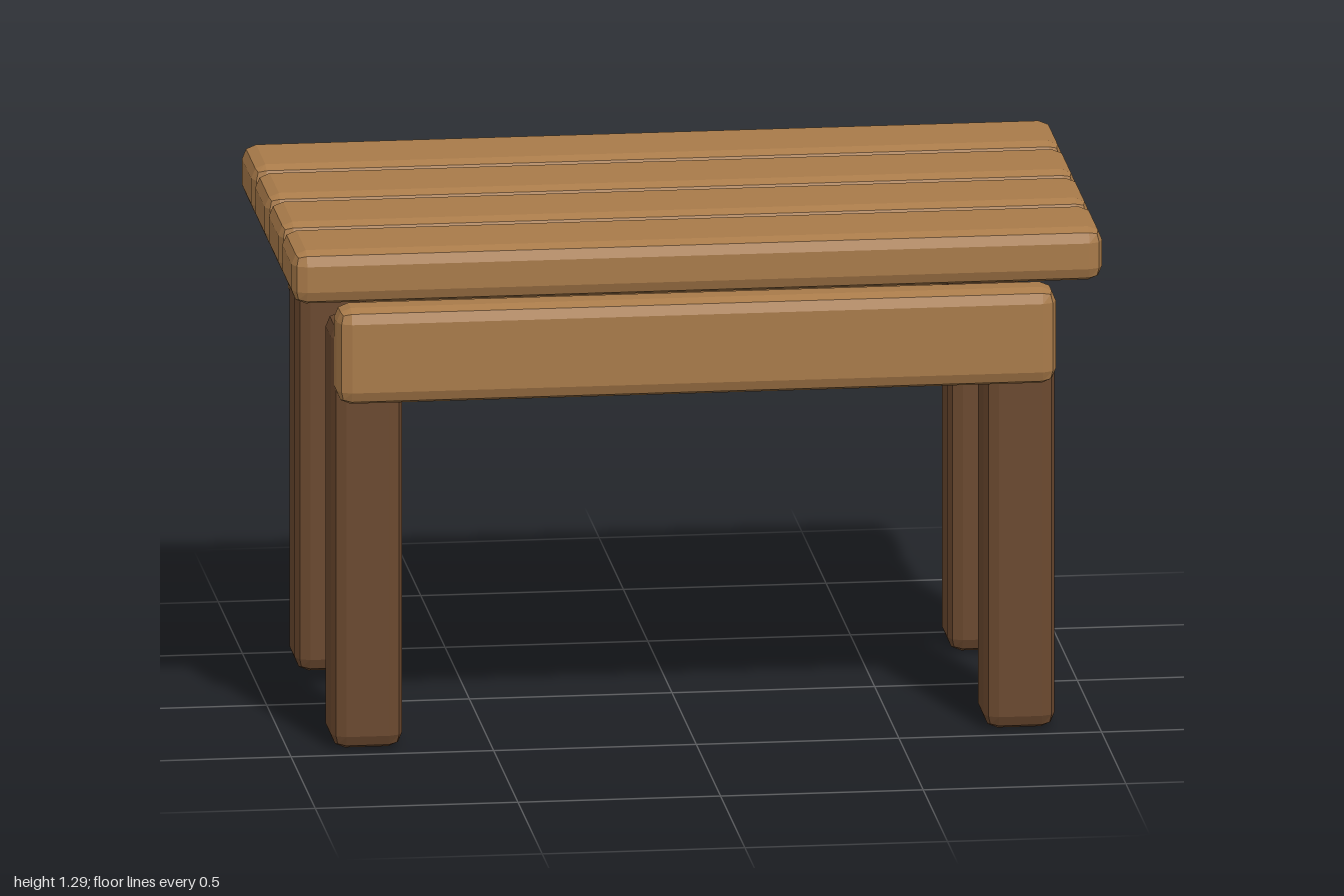
import * as THREE from 'three';
import { RoundedBoxGeometry } from 'three/addons/geometries/RoundedBoxGeometry.js';

const lightWood = new THREE.MeshStandardMaterial({ color: 0xa87a49 });
lightWood.name = 'lightWood';
const darkWood = new THREE.MeshStandardMaterial({ color: 0x6a482e });
darkWood.name = 'darkWood';

// Timber block with faceted, rounded-over edges
function timber(name, material, size, position) {
  const geometry = new RoundedBoxGeometry(...size, 1, 0.035);
  geometry.computeVertexNormals(); // unshared corners give flat facets
  const mesh = new THREE.Mesh(geometry, material);
  mesh.name = name;
  mesh.position.set(...position);
  return mesh;
}

export function createModel() {
  const table = new THREE.Group();
  table.name = 'table';

  // Four top planks with narrow gaps
  for (let i = 0; i < 4; i++) {
    const z = (1.5 - i) * 0.277;
    table.add(timber('topPlank' + (i + 1), lightWood, [2, 0.135, 0.26], [0, 1.218, z]));
  }

  for (const [end, sz] of [['front', 1], ['back', -1]]) {
    // Long side rail under the planks
    table.add(timber(end + 'Rail', lightWood, [1.775, 0.243, 0.121], [0, 1.01, sz * 0.47]));
    // Corner legs, set into the rails
    for (const [side, sx] of [['Left', 1], ['Right', -1]]) {
      table.add(timber(end + side + 'Leg', darkWood, [0.176, 1.076, 0.176], [sx * 0.805, 0.538, sz * 0.373]));
    }
  }
  return table;
}
